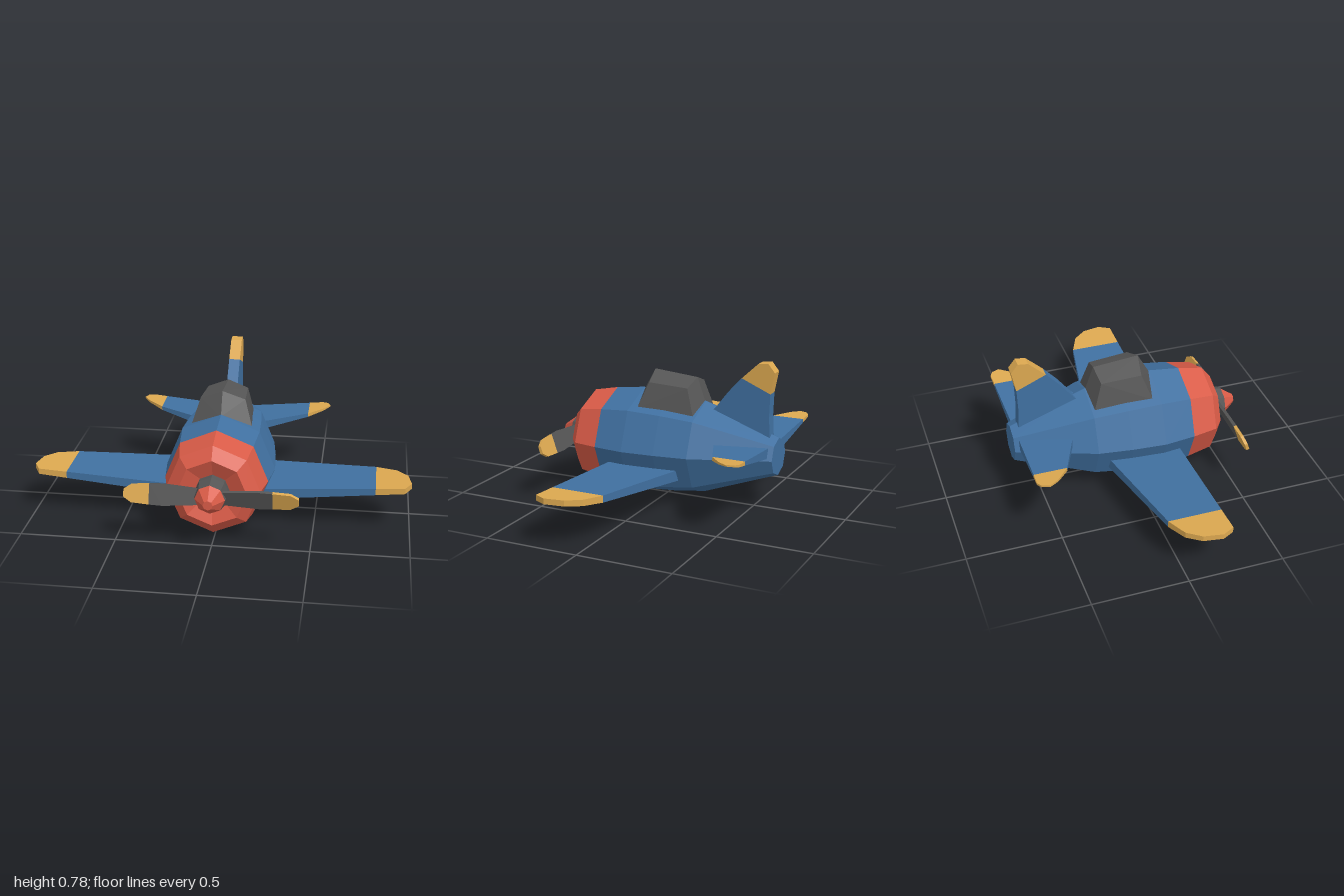
import * as THREE from 'three';
import { ConvexGeometry } from 'three/addons/geometries/ConvexGeometry.js';

const paint = (color) => new THREE.MeshStandardMaterial({ color, flatShading: true });
const BLUE = paint(0x4070a0), RED = paint(0xd95b47), YELLOW = paint(0xdca850), GREY = paint(0x555555);
const AXIS_Y = 0.288;

function part(name, geometry, material) {
  const mesh = new THREE.Mesh(geometry, material);
  mesh.name = name;
  return mesh;
}

// Eight-sided body of revolution along z; profile is [radius, z] from back to front.
function turned(profile) {
  const g = new THREE.LatheGeometry(profile.map(([r, z]) => new THREE.Vector2(r, z)), 8);
  return g.rotateX(Math.PI / 2).translate(0, AXIS_Y, 0);
}

function extrude(outline, depth) {
  const shape = new THREE.Shape(outline.map(([x, y]) => new THREE.Vector2(x, y)));
  return new THREE.ExtrudeGeometry(shape, { depth, bevelEnabled: false });
}

// Wing panel: plan outline [x, z], its top and bottom heights running linearly from x0 to x1.
function panel(outline, side, { x0, x1, top, bottom }) {
  const g = extrude(outline.map(([x, z]) => [x * side, -z]), 1).rotateX(-Math.PI / 2);
  const p = g.attributes.position;
  for (let i = 0; i < p.count; i++) {
    const t = (Math.abs(p.getX(i)) - x0) / (x1 - x0);
    const hi = THREE.MathUtils.lerp(top[0], top[1], t);
    const lo = THREE.MathUtils.lerp(bottom[0], bottom[1], t);
    p.setY(i, p.getY(i) > 0.5 ? hi : lo);
  }
  g.computeVertexNormals();
  return g;
}

export function createModel() {
  const plane = new THREE.Group();
  plane.name = 'airplane';

  // Fuselage and engine cowl with a shallow dished front
  plane.add(part('fuselage', turned([
    [0, -0.63], [0.1, -0.63], [0.25, -0.22], [0.274, -0.04], [0.287, 0.14], [0.267, 0.305],
  ]), BLUE));
  plane.add(part('cowl', turned([
    [0.267, 0.305], [0.24, 0.44], [0.178, 0.49], [0.125, 0.47], [0.085, 0.455], [0, 0.455],
  ]), RED));

  // Canopy: ribs of half-width, shoulder y, shoulder z, ridge y, ridge z
  const ribs = [
    [0.16, 0.5, 0.105, 0.565, 0.14],
    [0.118, 0.635, 0.055, 0.683, 0.075],
    [0.108, 0.622, -0.16, 0.661, -0.17],
    [0.135, 0.48, -0.205, 0.535, -0.215],
  ];
  plane.add(part('canopy', new ConvexGeometry(ribs.flatMap(([w, y, z, ry, rz]) => [
    new THREE.Vector3(w, y, z), new THREE.Vector3(0, ry, rz), new THREE.Vector3(-w, y, z),
  ])), GREY));

  // Wings and tailplanes
  const wing = { x0: 0.2, x1: 1, top: [0.207, 0.257], bottom: [0.148, 0.228] };
  const tail = { x0: 0.2, x1: 0.54, top: [0.361, 0.39], bottom: [0.318, 0.382] };
  for (const [label, side] of [['left', 1], ['right', -1]]) {
    plane.add(part(`${label}Wing`, panel(
      [[0.12, 0.233], [0.815, 0.233], [0.815, -0.047], [0.12, -0.168]], side, wing), BLUE));
    plane.add(part(`${label}WingTip`, panel(
      [[0.815, 0.233], [0.965, 0.233], [1, 0.17], [0.982, 0.07], [0.925, 0], [0.815, -0.047]], side, wing), YELLOW));
    plane.add(part(`${label}Tailplane`, panel(
      [[0.05, -0.29], [0.42, -0.44], [0.42, -0.613], [0.05, -0.603]], side, tail), BLUE));
    plane.add(part(`${label}TailplaneTip`, panel(
      [[0.42, -0.44], [0.505, -0.51], [0.54, -0.56], [0.525, -0.6], [0.495, -0.616], [0.42, -0.613]], side, tail), YELLOW));
  }

  // Tail fin, outline as [-z, y]
  const fin = (outline) => extrude(outline, 0.06).rotateY(Math.PI / 2).translate(-0.03, 0, 0);
  plane.add(part('fin', fin(
    [[0.24, 0.48], [0.285, 0.515], [0.36, 0.612], [0.43, 0.688], [0.588, 0.62], [0.584, 0.5], [0.592, 0.36], [0.4, 0.36]]), BLUE));
  plane.add(part('finTip', fin(
    [[0.43, 0.688], [0.52, 0.772], [0.573, 0.778], [0.61, 0.732], [0.588, 0.62]]), YELLOW));

  // Propeller hub, spinner and two pitched blades
  const propeller = new THREE.Group();
  propeller.name = 'propeller';
  propeller.add(part('hub', turned([[0.09, 0.45], [0.09, 0.49], [0.077, 0.56], [0, 0.56]]), GREY));
  propeller.add(part('spinner', turned([[0.077, 0.56], [0.025, 0.63], [0, 0.63]]), RED));
  const pitch = (outline) => extrude(outline, 0.016).translate(0, 0, -0.008).rotateX(0.33);
  for (const turn of [0, Math.PI]) {
    const blade = new THREE.Group();
    blade.name = 'blade';
    blade.position.set(0, AXIS_Y, 0.532);
    blade.rotation.z = turn;
    blade.add(part('bladeBody', pitch(
      [[0.04, -0.04], [0.24, -0.056], [0.31, -0.053], [0.31, 0.053], [0.24, 0.056], [0.04, 0.04]]), GREY));
    blade.add(part('bladeTip', pitch(
      [[0.31, -0.053], [0.4, -0.047], [0.44, -0.02], [0.44, 0.02], [0.4, 0.047], [0.31, 0.053]]), YELLOW));
    propeller.add(blade);
  }
  plane.add(propeller);

  return plane;
}
